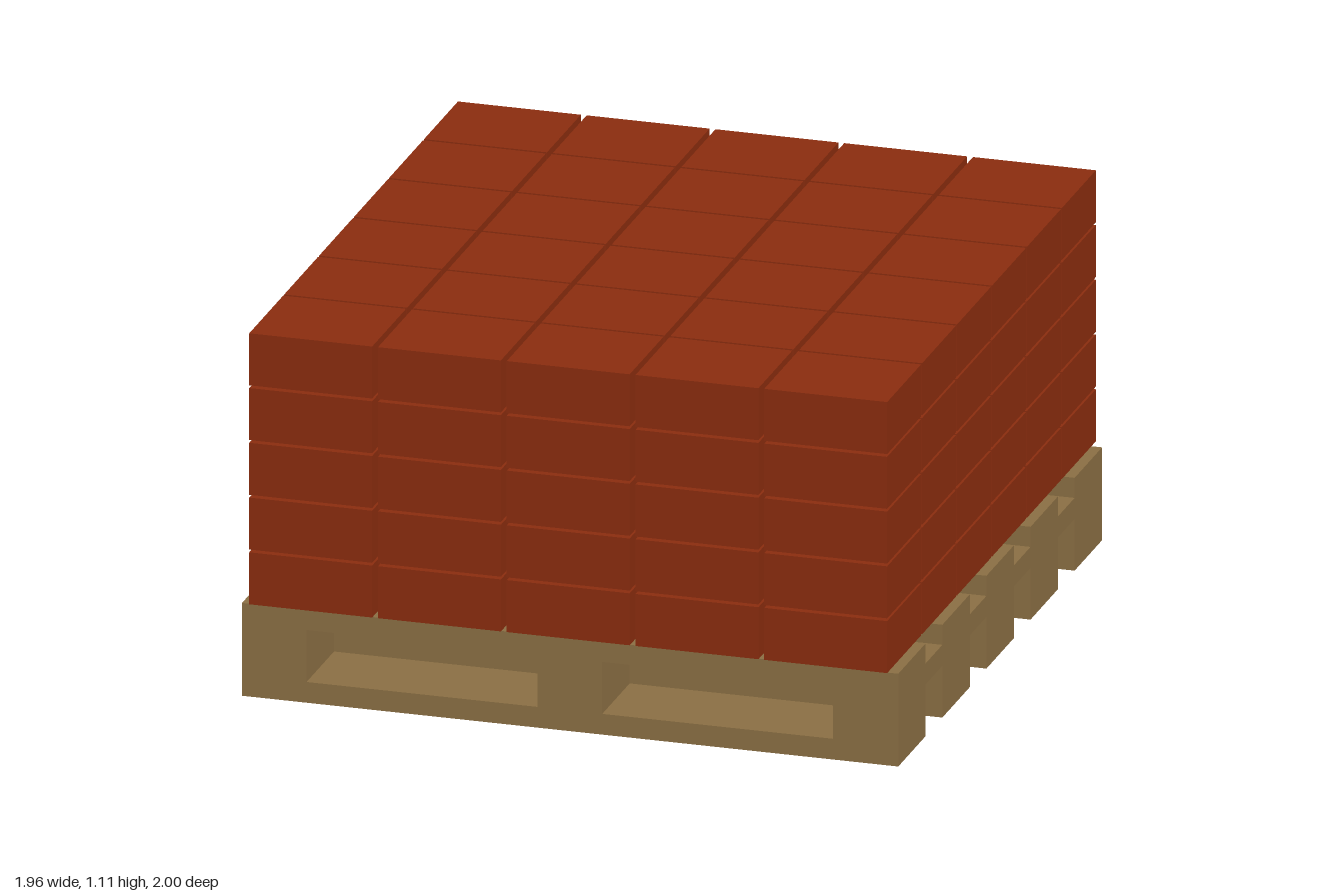
import * as THREE from 'three';

export function createModel() {
  const model = new THREE.Group();
  const wood = new THREE.MeshStandardMaterial({ color: 0x8a6e43 });
  wood.name = 'pallet wood';
  const clay = new THREE.MeshStandardMaterial({ color: 0x8a2c0e });
  clay.name = 'red clay';

  // Box given by its lower and upper corners
  function addBox(parent, name, material, [x0, y0, z0], [x1, y1, z1]) {
    const mesh = new THREE.Mesh(new THREE.BoxGeometry(x1 - x0, y1 - y0, z1 - z0), material);
    mesh.position.set((x0 + x1) / 2, (y0 + y1) / 2, (z0 + z1) / 2);
    mesh.name = name;
    parent.add(mesh);
  }

  // Pallet: five rows of bottom board, three blocks and top board
  const pallet = new THREE.Group();
  pallet.name = 'pallet';
  model.add(pallet);
  const supports = [[-0.98, -0.787], [-0.098, 0.096], [0.785, 0.98]];
  const rowDepth = 0.263, rowPitch = 0.4225, backEdge = -0.96;
  for (let row = 0; row < 5; row++) {
    const z0 = backEdge + row * rowPitch;
    const z1 = z0 + rowDepth;
    addBox(pallet, 'bottomBoard', wood, [-0.98, 0, z0], [0.98, 0.063, z1]);
    addBox(pallet, 'topBoard', wood, [-0.98, 0.221, z0], [0.98, 0.282, z1]);
    for (const [x0, x1] of supports) {
      addBox(pallet, 'block', wood, [x0, 0.063, z0], [x1, 0.157, z1]);
    }
  }

  // Stringers running front to back between blocks and top boards
  for (const [x0, x1] of supports) {
    addBox(pallet, 'stringer', wood, [x0, 0.157, backEdge], [x1, 0.221, backEdge + 4 * rowPitch + rowDepth]);
  }

  // Stack of bricks: 5 columns, 5 layers, 6 rows deep, with narrow gaps
  const stack = new THREE.Group();
  stack.name = 'brickStack';
  model.add(stack);
  const size = [0.367, 0.158, 0.325];
  const pitch = [0.3845, 0.1664, 0.335];
  const start = [-0.956, 0.283, -1];
  const brickGeometry = new THREE.BoxGeometry(...size);
  for (let i = 0; i < 5; i++) {
    for (let j = 0; j < 5; j++) {
      for (let k = 0; k < 6; k++) {
        const brick = new THREE.Mesh(brickGeometry, clay);
        brick.name = 'brick';
        brick.position.set(...[i, j, k].map((n, a) => start[a] + n * pitch[a] + size[a] / 2));
        stack.add(brick);
      }
    }
  }
  return model;
}
